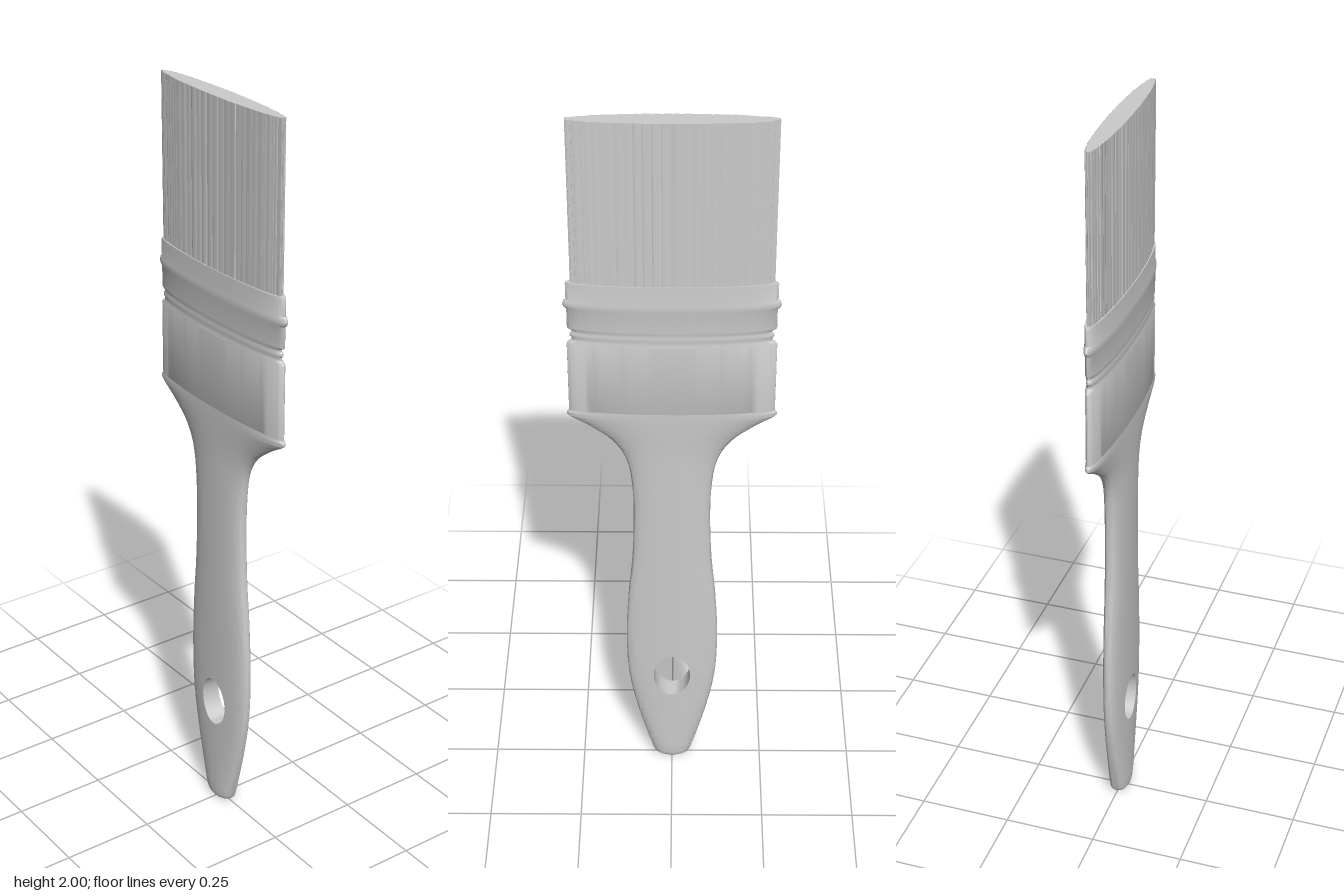
import * as THREE from 'three';
import { toCreasedNormals } from 'three/addons/utils/BufferGeometryUtils.js';

const material = new THREE.MeshStandardMaterial({ color: 0xcccccc });

function part(name, geometry) {
  const mesh = new THREE.Mesh(geometry, material);
  mesh.name = name;
  return mesh;
}

// Handle: oval sections stacked upward, split around the hanging hole
function handleGeometry() {
  const hole = { y: 0.315, rx: 0.05, ry: 0.07 };
  const outline = [
    [0.001, 0], [0.03, 0.003], [0.048, 0.012], [0.058, 0.04], [0.075, 0.1], [0.093, 0.17],
    [0.109, 0.245], [0.119, 0.315], [0.123, 0.385], [0.123, 0.48], [0.116, 0.6],
    [0.105, 0.72], [0.1, 0.84], [0.102, 0.95], [0.116, 1.04], [0.15, 1.1],
    [0.205, 1.145], [0.256, 1.177], [0.264, 1.188], [0.255, 1.2],
  ].map(([x, y]) => new THREE.Vector2(x, y));
  const curve = new THREE.SplineCurve(outline);
  const spans = outline.length - 1, steps = 10, cols = 28;

  const rows = [];
  for (let k = 0; k < spans; k++) {
    for (let i = 0; i < steps + (k === spans - 1 ? 1 : 0); i++) {
      let s = i / steps;
      // crowd the rows toward the hole's two ends
      if (outline[k].y === 0.245) s = 1 - Math.cos(s * Math.PI / 2);
      if (outline[k].y === 0.315) s = Math.sin(s * Math.PI / 2);
      rows.push(curve.getPoint((k + s) / spans));
    }
  }

  const positions = [], index = [], open = [];
  const ring = cols + 1;
  for (const side of [1, -1]) {
    const base = positions.length / 3;
    rows.forEach(({ x: w, y }, i) => {
      const d = 1 - ((y - hole.y) / hole.ry) ** 2;
      const h = d > 1e-6 ? hole.rx * Math.sqrt(d) : 0;
      open[i] = h > 0;
      const start = Math.asin(h / w);
      const depth = 0.028 * Math.pow(Math.min(1, w / 0.058), 0.5)
        + 0.003 * THREE.MathUtils.smoothstep(y, 1.05, 1.19);
      const power = THREE.MathUtils.lerp(0.8, 1, THREE.MathUtils.smoothstep(y, 0.9, 1.18));
      for (let j = 0; j <= cols; j++) {
        const a = THREE.MathUtils.lerp(start, Math.PI - start, j / cols);
        const c = Math.cos(a);
        positions.push(side * w * Math.sin(a), y, depth * Math.sign(c) * Math.abs(c) ** power);
      }
    });
    for (let i = 0; i < rows.length - 1; i++) {
      const columns = open[i] || open[i + 1] ? ring : cols; // the extra column is the hole wall
      for (let j = 0; j < columns; j++) {
        const a = base + i * ring + j, b = base + i * ring + (j + 1) % ring;
        const c = b + ring, d = a + ring;
        if (side > 0) index.push(a, b, c, a, c, d);
        else index.push(a, c, b, a, d, c);
      }
    }
  }
  const geometry = new THREE.BufferGeometry();
  geometry.setAttribute('position', new THREE.Float32BufferAttribute(positions, 3));
  geometry.setIndex(index);
  return toCreasedNormals(geometry, 0.7);
}

// Ferrule: turned profile with a groove and a bead, flattened to an oval
function ferruleGeometry() {
  const profile = [
    [0.24, 1.185], [0.258, 1.19], [0.258, 1.395], [0.254, 1.4], [0.245, 1.405],
    [0.245, 1.412], [0.25, 1.417], [0.25, 1.423], [0.245, 1.428], [0.245, 1.433],
    [0.254, 1.438], [0.256, 1.442], [0.256, 1.495], [0.262, 1.499], [0.266, 1.508],
    [0.262, 1.518], [0.257, 1.522], [0.257, 1.565], [0.254, 1.57], [0.235, 1.57],
  ].map(([x, y]) => new THREE.Vector2(x, y));
  const geometry = new THREE.LatheGeometry(profile, 128);
  geometry.scale(1, 1, 0.118);
  return toCreasedNormals(geometry, 0.6);
}

// Bristles: one oval block whose rim is cut into uneven vertical strands
function bristleGeometry() {
  let seed = 7;
  const random = () => (seed = (seed * 16807) % 2147483647) / 2147483647;
  const points = [];
  const rim = (angle, r) =>
    points.push(new THREE.Vector2(0.251 * r * Math.cos(angle), 0.0265 * r * Math.sin(angle)));
  const strands = 64;
  for (let i = 0; i < strands; i++) {
    const step = (Math.PI * 2) / strands;
    const start = (i + 0.4 * random()) * step;
    const end = (i + 0.7 + 0.15 * random()) * step;
    const r = 0.96 + 0.04 * random();
    rim(start, r);
    rim((start + end) / 2, r + 0.005);
    rim(end, r);
    rim((i + 0.93) * step, 0.91 + 0.05 * random());
  }
  const geometry = new THREE.ExtrudeGeometry(new THREE.Shape(points), {
    depth: 0.45, bevelEnabled: false,
  });
  geometry.rotateX(-Math.PI / 2);
  geometry.translate(0, 1.55, 0);
  return geometry;
}

export function createModel() {
  const brush = new THREE.Group();
  brush.name = 'paintbrush';
  brush.add(
    part('handle', handleGeometry()),
    part('ferrule', ferruleGeometry()),
    part('bristles', bristleGeometry()),
  );
  return brush;
}
